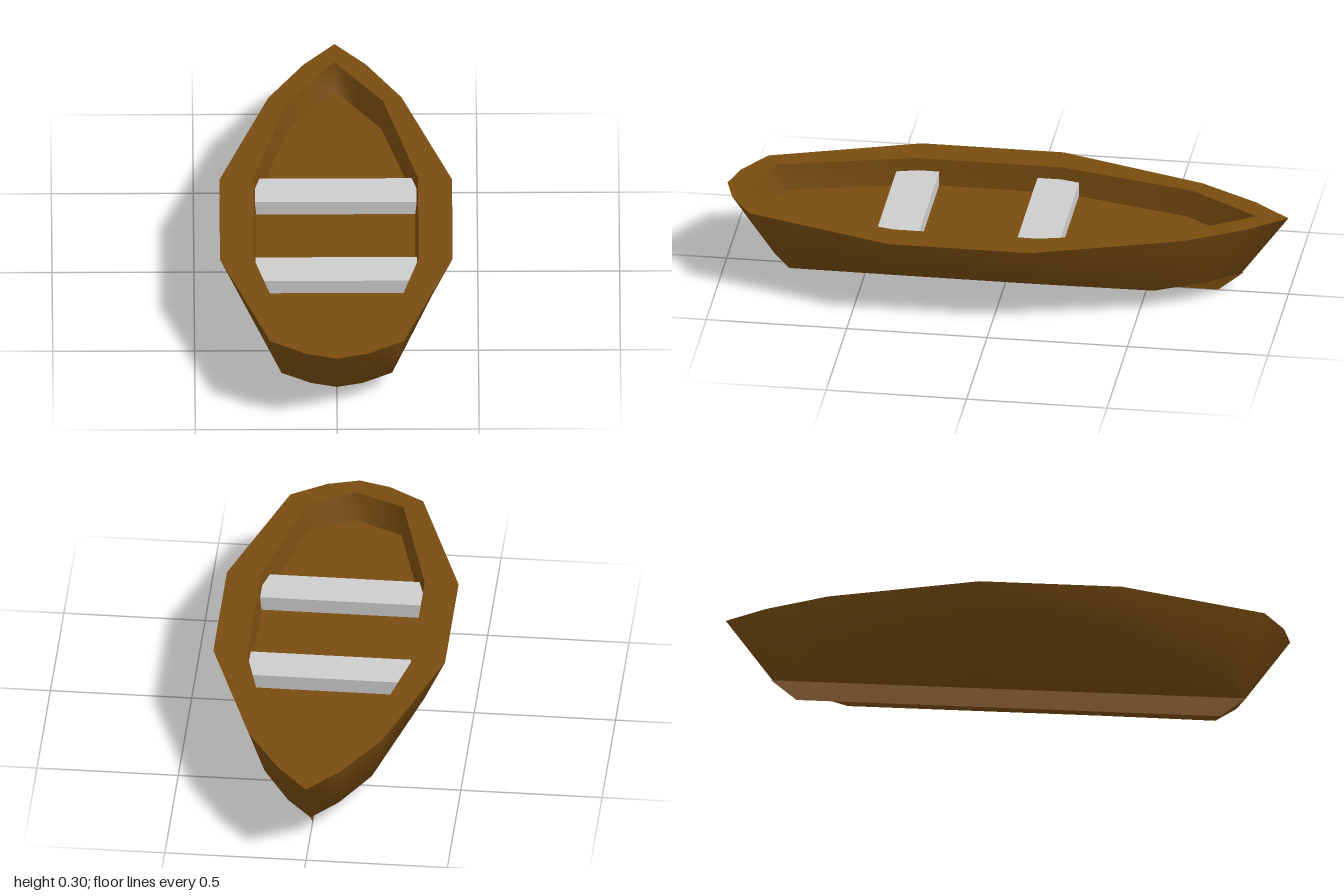
import * as THREE from 'three';
import { mergeVertices } from 'three/addons/utils/BufferGeometryUtils.js';

const wood = new THREE.MeshStandardMaterial({ color: 0x784c10, side: THREE.DoubleSide });
wood.name = 'brown wood';
const bench = new THREE.MeshStandardMaterial({ color: 0xcccccc });
bench.name = 'pale grey';

// Half outline [x, y, z] from bow to stern, mirrored into a closed ring
function ring(half) {
  const back = half.slice(1, -1).reverse().map(([x, y, z]) => [-x, y, z]);
  return [...half, ...back];
}
const level = (y, pts) => ring(pts.map(([x, z]) => [x, y, z]));
const spine = (r, y) => r.map(([, , z]) => [0, y, z]);

// Skin between consecutive rings, sharing vertices for smooth normals
function loft(name, rings, flat = false) {
  const n = rings[0].length;
  const index = [];
  for (let k = 0; k < rings.length - 1; k++) {
    for (let i = 0; i < n; i++) {
      const j = (i + 1) % n;
      const a = k * n + i, b = k * n + j, c = a + n, d = b + n;
      index.push(a, b, c, b, d, c);
    }
  }
  let geo = new THREE.BufferGeometry();
  geo.setAttribute('position', new THREE.Float32BufferAttribute(rings.flat(2), 3));
  geo.setIndex(index);
  geo = mergeVertices(geo);
  if (flat) geo = geo.toNonIndexed();
  geo.computeVertexNormals();
  const mesh = new THREE.Mesh(geo, wood);
  mesh.name = name;
  return mesh;
}

// Seat outline is trimmed to the hull: [half width, z] from back to front
function seat(name, pts) {
  const outline = [...pts, ...pts.slice().reverse().map(([x, z]) => [-x, z])];
  const shape = new THREE.Shape(outline.map(([x, z]) => new THREE.Vector2(x, -z)));
  const geo = new THREE.ExtrudeGeometry(shape, { depth: 0.055, bevelEnabled: false });
  geo.rotateX(-Math.PI / 2);
  const mesh = new THREE.Mesh(geo, bench);
  mesh.name = name;
  mesh.position.y = 0.197;
  return mesh;
}

export function createModel() {
  const boat = new THREE.Group();
  boat.name = 'rowingBoat';

  // Outlines from the gunwale down to the bottom
  const rim = level(0.297, [[0, -1], [0.11, -0.87], [0.235, -0.66], [0.41, -0.14],
    [0.41, 0.365], [0.235, 0.885], [0.11, 0.965], [0, 0.997]]);
  const chine = ring([[0, 0.073, -0.835], [0.09, 0.073, -0.73], [0.19, 0.073, -0.55], [0.337, 0.142, -0.14],
    [0.337, 0.142, 0.365], [0.195, 0.073, 0.75], [0.09, 0.073, 0.815], [0, 0.073, 0.84]]);
  const innerRim = level(0.297, [[0, -0.885], [0.085, -0.76], [0.17, -0.635], [0.29, -0.15],
    [0.29, 0.365], [0.17, 0.84], [0.085, 0.88], [0, 0.92]]);
  const floor = level(0.2, [[0, -0.845], [0.081, -0.728], [0.162, -0.61], [0.28, -0.16],
    [0.28, 0.36], [0.165, 0.81], [0.082, 0.848], [0, 0.887]]);

  boat.add(loft('hull', [rim, chine, spine(chine, 0.073)]));
  boat.add(loft('gunwale', [innerRim, rim], true));
  boat.add(loft('innerWall', [floor, innerRim]));
  boat.add(loft('floor', [spine(floor, 0.2), floor], true));

  // Thin keel fin along the centre line
  const fin = new THREE.Shape([[-0.84, 0.073], [-0.75, 0], [0.75, 0], [0.84, 0.073]]
    .map(([z, y]) => new THREE.Vector2(z, y)));
  const keel = new THREE.Mesh(new THREE.ShapeGeometry(fin), wood);
  keel.name = 'keel';
  keel.rotation.y = -Math.PI / 2;
  boat.add(keel);

  // Two bench seats
  boat.add(seat('rearSeat', [[0.268, -0.215], [0.285, -0.15], [0.285, -0.065]]));
  boat.add(seat('frontSeat', [[0.285, 0.285], [0.285, 0.36], [0.265, 0.435]]));

  return boat;
}
